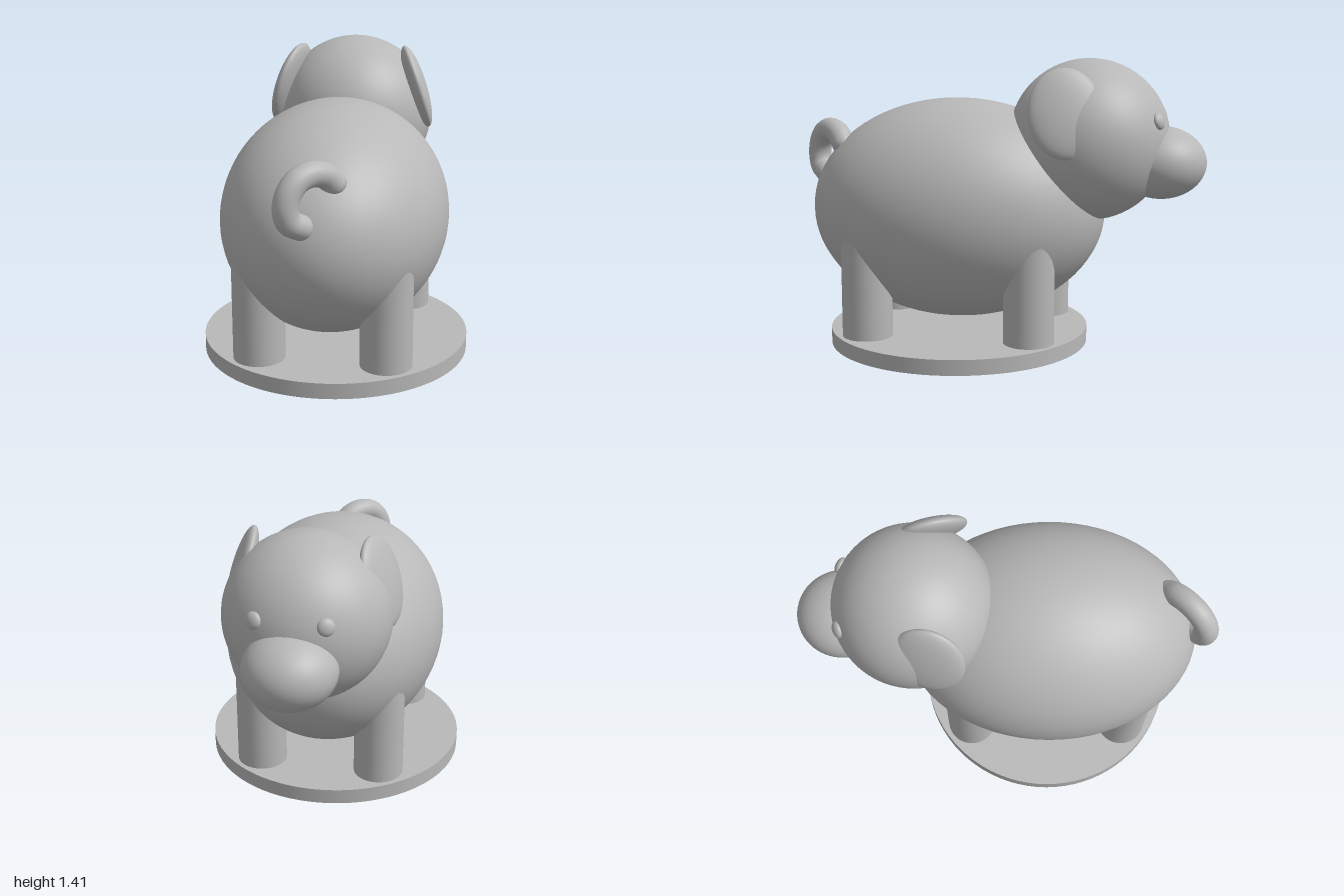
import * as THREE from 'three';

export function createModel() {
  const group = new THREE.Group();
  group.name = 'piggyOnStand';
  const grey = new THREE.MeshStandardMaterial({ color: 0xb8b8b8 });
  grey.name = 'plain grey';

  const add = (name, geometry, [x, y, z]) => {
    const mesh = new THREE.Mesh(geometry, grey);
    mesh.name = name;
    mesh.position.set(x, y, z);
    group.add(mesh);
    return mesh;
  };
  const ellipsoid = (name, position, radii) => {
    const geometry = new THREE.SphereGeometry(1, 64, 40);
    geometry.scale(...radii);
    return add(name, geometry, position);
  };

  // round stand
  add('stand', new THREE.CylinderGeometry(0.64, 0.64, 0.075, 80), [0, 0.0375, 0.21]);

  // body, head and snout
  ellipsoid('body', [0, 0.67, 0.21], [0.54, 0.54, 0.725]);
  const headCentre = new THREE.Vector3(0, 1.02, -0.435);
  ellipsoid('head', headCentre.toArray(), [0.39, 0.39, 0.39]);
  ellipsoid('snout', [0, 0.915, -0.78], [0.215, 0.175, 0.22]);

  for (const [side, s] of [['left', 1], ['right', -1]]) {
    // legs, with their tops hidden in the body
    for (const [end, z] of [['front', -0.185], ['back', 0.605]]) {
      add(`${side} ${end} leg`, new THREE.CylinderGeometry(0.122, 0.122, 0.56, 40), [s * 0.297, 0.34, z]);
    }

    // flat ears, leaning in at the top and flaring out behind
    const ear = ellipsoid(`${side} ear`, [s * 0.322, 1.175, -0.355], [0.05, 0.215, 0.175]);
    ear.rotation.set(0, s * 0.23, s * 0.3);

    // eyes, lying flat against the head
    const eye = ellipsoid(`${side} eye`, [s * 0.16, 1.13, -0.775], [0.04, 0.04, 0.022]);
    eye.lookAt(eye.position.clone().multiplyScalar(2).sub(headCentre));
  }

  // curly tail in an upright plane turned 45 degrees
  const tailPoints = [
    [0.083, 0.985], [0.05, 1.026], [0, 1.043], [-0.05, 1.023],
    [-0.083, 0.97], [-0.093, 0.905], [-0.08, 0.85], [-0.04, 0.818],
  ].map(([x, y]) => new THREE.Vector3(x, y, 0.857 - x));
  const tailRadius = 0.057;
  const tailCurve = new THREE.CatmullRomCurve3(tailPoints);
  add('tail', new THREE.TubeGeometry(tailCurve, 60, tailRadius, 24), [0, 0, 0]);
  for (const point of [tailPoints[0], tailPoints.at(-1)]) {
    ellipsoid('tail end', point.toArray(), [tailRadius, tailRadius, tailRadius]);
  }

  return group;
}
